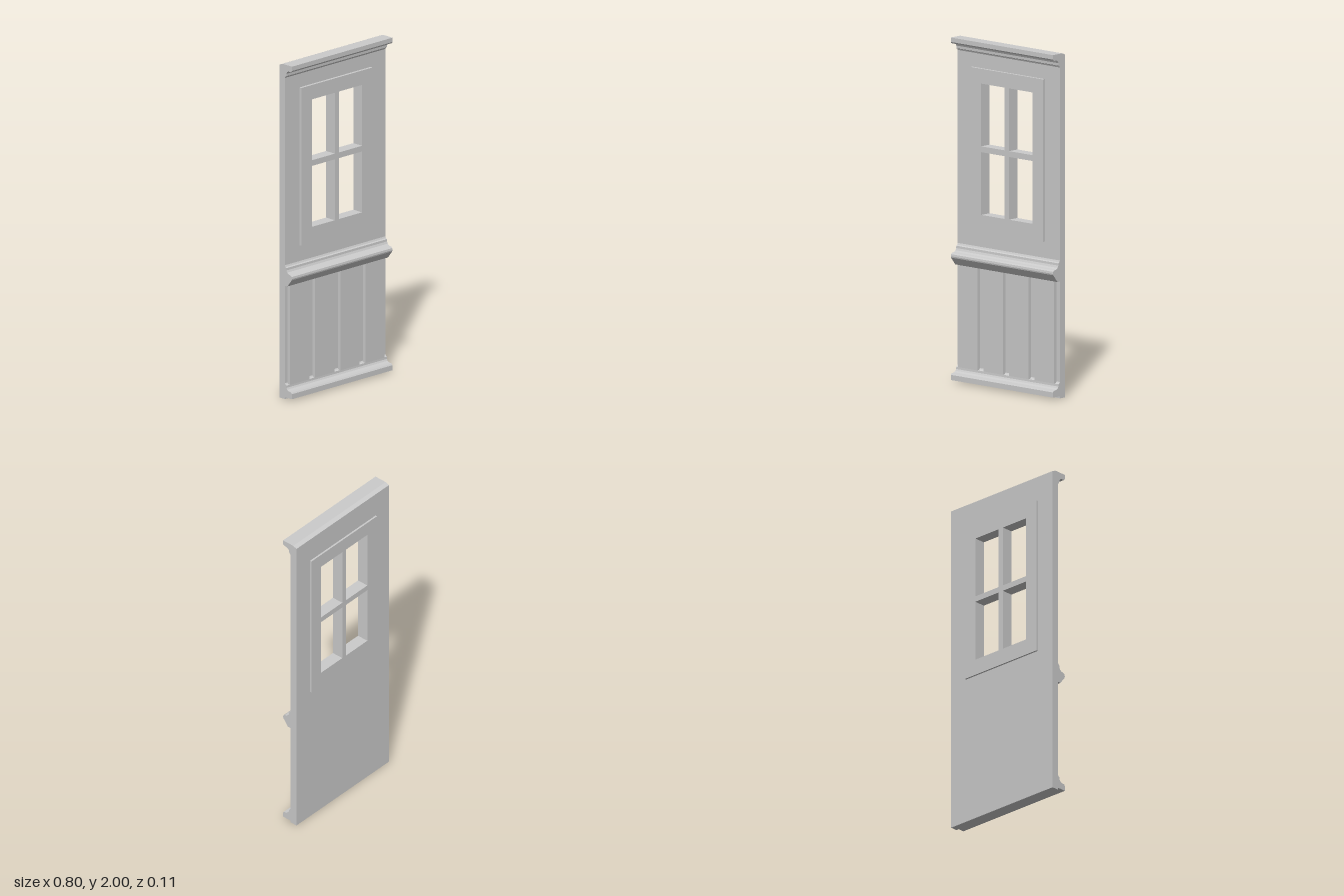
import * as THREE from 'three';

const HALF = 0.398; // half width of the wall section
const BACK = -0.046, FACE = -0.002; // back and front planes of the wall

export function createModel() {
  const group = new THREE.Group();
  const material = new THREE.MeshStandardMaterial({ color: 0xcccccc, flatShading: true });

  const add = (name, geometry) => {
    const mesh = new THREE.Mesh(geometry, material);
    mesh.name = name;
    group.add(mesh);
  };

  const rect = (Type, x0, x1, y0, y1) => new Type([
    new THREE.Vector2(x0, y0), new THREE.Vector2(x1, y0),
    new THREE.Vector2(x1, y1), new THREE.Vector2(x0, y1),
  ]);

  // Upright slab from z0 to z1 with rectangular openings [x0, x1, y0, y1]
  const slab = (name, outer, holes, z0, z1) => {
    const shape = rect(THREE.Shape, ...outer);
    shape.holes = holes.map((h) => rect(THREE.Path, ...h));
    const geometry = new THREE.ExtrudeGeometry(shape, { depth: z1 - z0, bevelEnabled: false });
    add(name, geometry.translate(0, 0, z0));
  };

  // Moulding: a [z, y] profile swept across the full width
  const moulding = (name, profile) => {
    const shape = new THREE.Shape(profile.map(([z, y]) => new THREE.Vector2(z, y)));
    const geometry = new THREE.ExtrudeGeometry(shape, { depth: 2 * HALF, bevelEnabled: false });
    add(name, geometry.rotateY(-Math.PI / 2).translate(HALF, 0, 0));
  };

  // Wall with an opening filled by the window frame
  const frame = [-0.283, 0.281, 0.895, 1.838];
  slab('wall', [-HALF, HALF, 0, 1.92], [frame], BACK, FACE);

  // Window frame with four panes open through its full depth
  const panes = [];
  for (const [x0, x1] of [[-0.2, -0.018], [0.016, 0.198]]) {
    for (const [y0, y1] of [[0.99, 1.354], [1.388, 1.752]]) panes.push([x0, x1, y0, y1]);
  }
  slab('windowFrame', frame, panes, -0.057, 0.014);

  // Raised wainscot panels
  for (let i = 0; i < 4; i++) {
    const x = -0.377 + i * 0.199;
    slab('wainscotPanel', [x, x + 0.152, 0.085, 0.685], [], FACE, 0.019);
  }

  // Crown, including the wall top with its sloped back edge
  moulding('crownMoulding', [
    [BACK, 1.92], [FACE, 1.92], [0.002, 1.928], [0.009, 1.932], [0.01, 1.947],
    [0.016, 1.958], [0.027, 1.964], [0.05, 1.966], [0.056, 1.974],
    [0.056, 2], [-0.022, 2], [BACK, 1.99],
  ]);

  moulding('chairRail', [
    [FACE, 0.678], [0.019, 0.678], [0.054, 0.722], [0.056, 0.73], [0.054, 0.742],
    [0.045, 0.749], [0.027, 0.752], [0.017, 0.76], [0.011, 0.772],
    [0.01, 0.785], [0.003, 0.79], [FACE, 0.8],
  ]);

  moulding('baseboard', [
    [FACE, 0.012], [0.056, 0.012], [0.056, 0.042], [0.05, 0.05], [0.028, 0.053],
    [0.017, 0.06], [0.011, 0.07], [0.01, 0.083], [0.003, 0.088], [FACE, 0.095],
  ]);

  return group;
}
